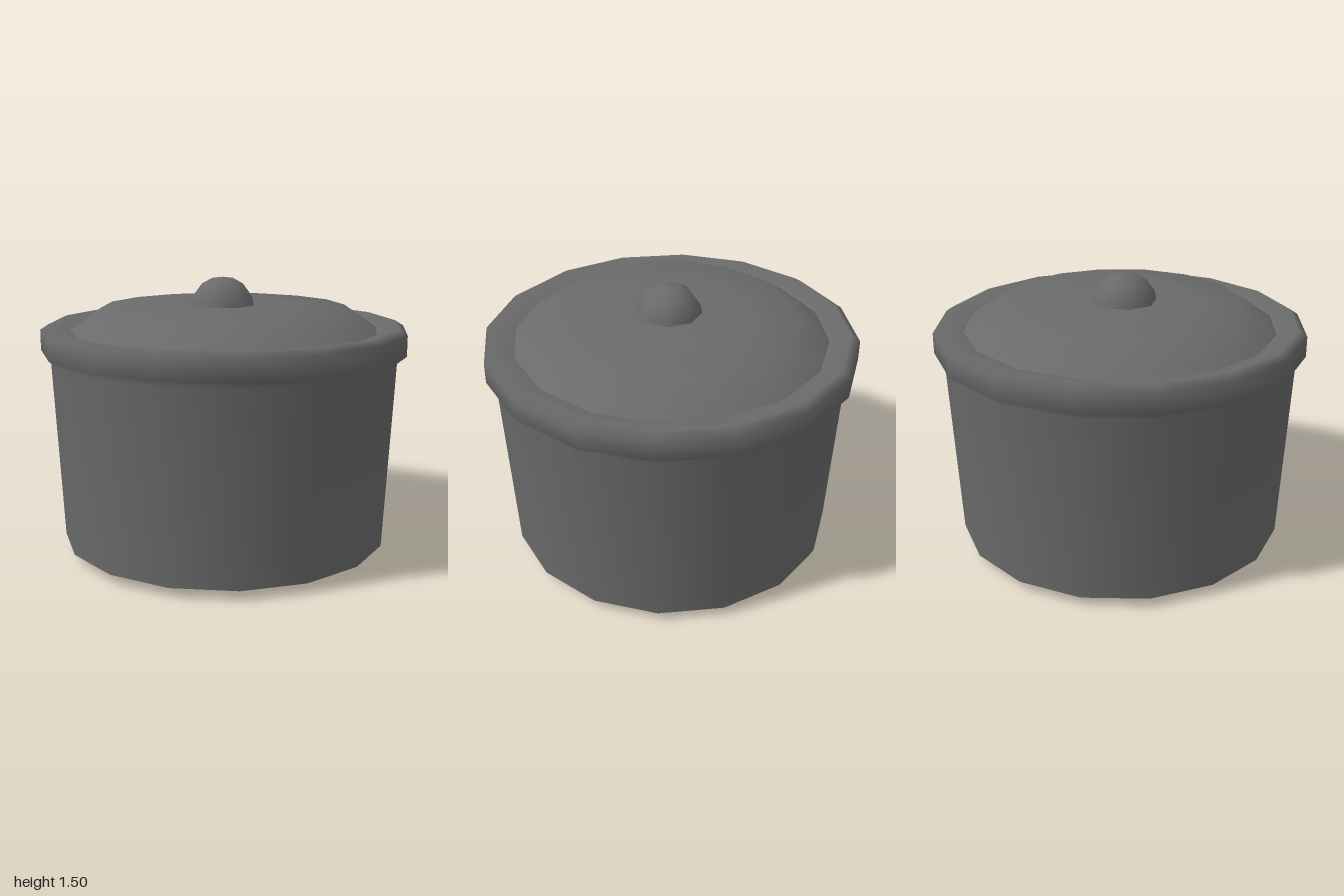
import * as THREE from 'three';

export function createModel() {
  const model = new THREE.Group();
  const stoneware = new THREE.MeshStandardMaterial({ color: 0x6a6a6a });
  stoneware.name = 'darkGreyStoneware';

  // Revolve a profile of [radius, height] points, listed from bottom to top
  const turn = (name, profile, sides, start) => {
    const points = profile.map(([r, y]) => new THREE.Vector2(r, y));
    const mesh = new THREE.Mesh(new THREE.LatheGeometry(points, sides, start), stoneware);
    mesh.name = name;
    model.add(mesh);
    return mesh;
  };

  const twist = -0.036;

  // Shallow chamfered underside, with a hard edge against the wall
  turn('potBase', [[0, 0], [0.5, 0.005], [0.8, 0.02], [0.9, 0.055]], 16, twist);

  // Tapered wall, rounded lip and the inward slope that seats the lid
  turn('potWall', [
    [0.9, 0.055], [0.95, 1.07], [1, 1.11], [1, 1.22], [0.955, 1.25], [0.83, 1.215],
  ], 16, twist);

  // Low domed lid
  turn('lid', [[0.845, 1.215], [0.665, 1.34], [0.4, 1.35], [0, 1.351]], 16, twist);

  // Half-round knob, slightly off centre
  const knob = turn('lidKnob', [
    [0.178, 1.345], [0.165, 1.4], [0.12, 1.46], [0.06, 1.492], [0, 1.5],
  ], 8, Math.PI / 9);
  knob.position.set(-0.02, 0, 0.005);

  return model;
}
